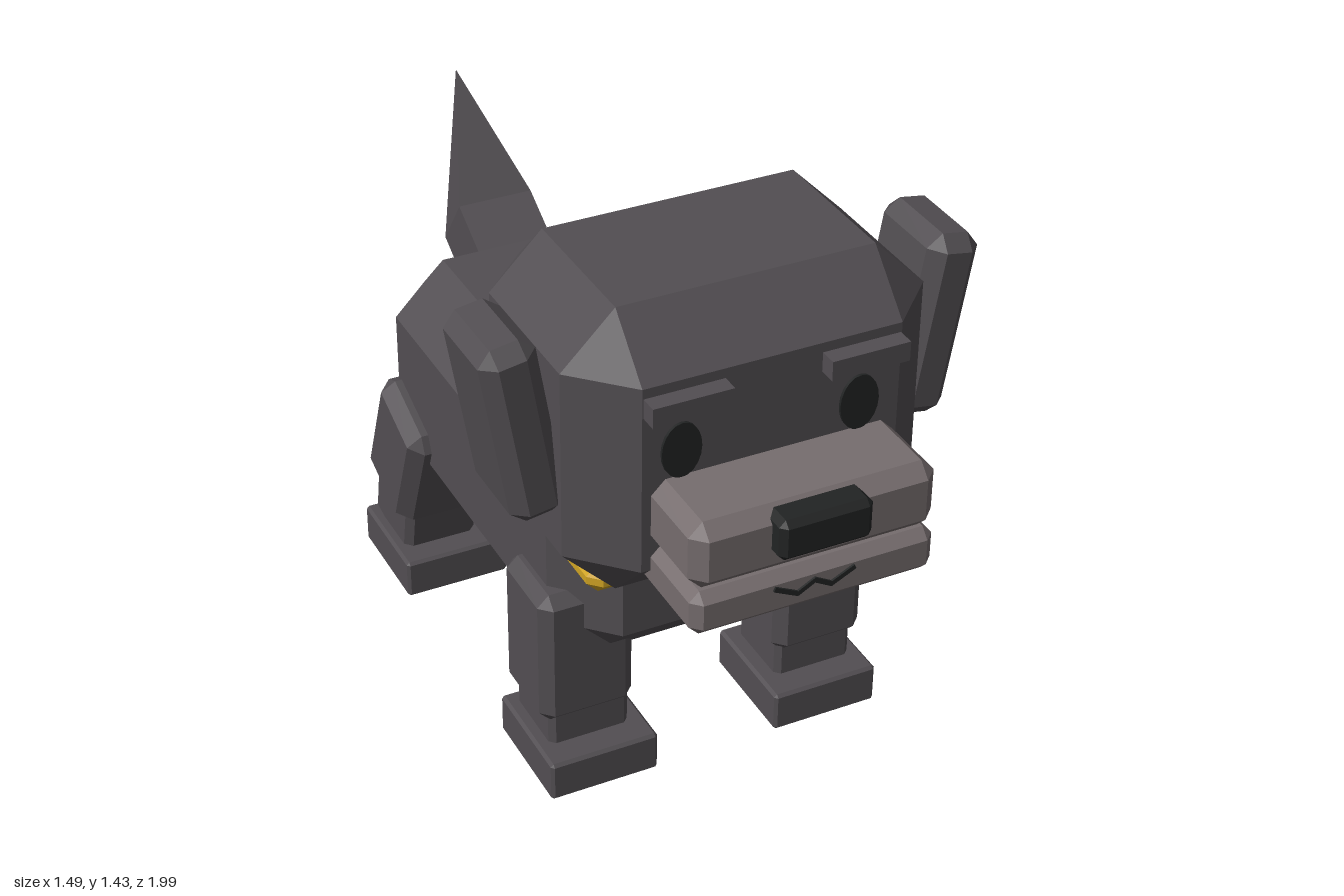
import * as THREE from 'three';
import { ConvexGeometry } from 'three/addons/geometries/ConvexGeometry.js';

const material = (name, color) => {
  const m = new THREE.MeshStandardMaterial({ color });
  m.name = name;
  return m;
};

// Box with every edge cut flat and small triangles at the corners
function chamferBox(w, h, d, c) {
  const points = [];
  const [a, b, e] = [w / 2, h / 2, d / 2];
  for (const x of [-1, 1]) for (const y of [-1, 1]) for (const z of [-1, 1]) {
    points.push(
      new THREE.Vector3(x * a, y * (b - c), z * (e - c)),
      new THREE.Vector3(x * (a - c), y * b, z * (e - c)),
      new THREE.Vector3(x * (a - c), y * (b - c), z * e));
  }
  return new ConvexGeometry(points);
}

export function createModel() {
  const fur = material('dark fur', 0x524e52);
  const muzzleFur = material('muzzle fur', 0x766d6e);
  const black = material('black', 0x222424);
  const gold = material('collar gold', 0xcfa323);

  const model = new THREE.Group();
  model.name = 'dog';
  model.rotation.y = THREE.MathUtils.degToRad(-22);
  const dog = new THREE.Group();
  dog.name = 'dogParts';
  dog.position.x = 0.04;
  model.add(dog);

  function add(name, geometry, mat, x = 0, y = 0, z = 0) {
    const mesh = new THREE.Mesh(geometry, mat);
    mesh.name = name;
    mesh.position.set(x, y, z);
    dog.add(mesh);
    return mesh;
  }
  const block = (name, mat, size, pos, c) => add(name, chamferBox(...size, c), mat, ...pos);

  // Body, head and collar
  block('body', fur, [0.8, 0.615, 1.21], [-0.005, 0.6275, -0.095], 0.137);
  block('head', fur, [0.92, 0.76, 0.655], [0, 1.05, 0.3925], 0.135);
  block('collar', gold, [0.77, 0.08, 0.4], [0, 0.692, 0.385], 0.03);
  block('neck', fur, [0.52, 0.06, 0.2], [0, 0.645, 0.43], 0.015);

  // Muzzle
  block('upperMuzzle', muzzleFur, [0.62, 0.177, 0.34], [0.008, 0.956, 0.765], 0.035);
  block('lowerMuzzle', muzzleFur, [0.62, 0.117, 0.34], [0.008, 0.808, 0.765], 0.025);
  block('nose', black, [0.235, 0.107, 0.1], [0.005, 0.983, 0.93], 0.016);

  // Zigzag mouth made of thin strokes
  const mouth = [[-0.1, 0.832], [-0.043, 0.804], [0, 0.828], [0.043, 0.804], [0.1, 0.832]];
  for (let i = 0; i < mouth.length - 1; i++) {
    const [x0, y0] = mouth[i], [x1, y1] = mouth[i + 1];
    const stroke = add('mouth', new THREE.BoxGeometry(Math.hypot(x1 - x0, y1 - y0) + 0.006, 0.012, 0.009),
      black, (x0 + x1) / 2, (y0 + y1) / 2, 0.936);
    stroke.rotation.z = Math.atan2(y1 - y0, x1 - x0);
  }

  for (const s of [-1, 1]) {
    const side = s > 0 ? 'left' : 'right';

    // Face details
    const eye = add(side + 'Eye', new THREE.CylinderGeometry(1, 1, 0.009, 20), black, s * 0.225 - 0.005, 1.115, 0.723);
    eye.rotation.x = Math.PI / 2;
    eye.scale.set(0.05, 1, 0.072);
    add(side + 'Eyebrow', new THREE.BoxGeometry(0.2, 0.05, 0.055), fur, s * 0.222, 1.245, 0.738);

    // Ear leans outward at the top
    const ear = block(side + 'Ear', fur, [0.14, 0.48, 0.265], [s * 0.53, 1.135, 0.44], 0.036);
    ear.rotation.z = -s * 0.165;

    // Front leg
    block(side + 'FrontLeg', fur, [0.25, 0.38, 0.24], [s * 0.322, 0.37, 0.32], 0.03);
    block(side + 'FrontAnkle', fur, [0.215, 0.16, 0.205], [s * 0.315, 0.14, 0.32], 0.015);
    block(side + 'FrontFoot', fur, [0.29, 0.11, 0.31], [s * 0.31, 0.055, 0.345], 0.008);

    // Hind leg, with the thigh sloping back
    const thigh = block(side + 'Thigh', fur, [0.23, 0.37, 0.26], [s * 0.345, 0.41, -0.525], 0.036);
    thigh.rotation.x = 0.385;
    const shank = block(side + 'HindAnkle', fur, [0.205, 0.19, 0.23], [s * 0.33, 0.175, -0.6], 0.02);
    shank.rotation.x = 0.2;
    block(side + 'HindFoot', fur, [0.29, 0.11, 0.31], [s * 0.315, 0.055, -0.577], 0.008);
  }

  // Tail: a square stem bending up into a pointed tip
  const pair = (y, z) => [-0.105, 0.105].map((x) => new THREE.Vector3(x, y, z));
  const elbow = [...pair(0.915, -0.84), ...pair(0.765, -0.95)];
  add('tailStem', new ConvexGeometry([...pair(0.79, -0.63), ...pair(0.615, -0.7), ...elbow]), fur);
  add('tailTip', new ConvexGeometry([...elbow, new THREE.Vector3(0, 1.19, -1.09)]), fur);

  const root = new THREE.Group();
  root.name = 'model';
  root.add(model);
  return root;
}
